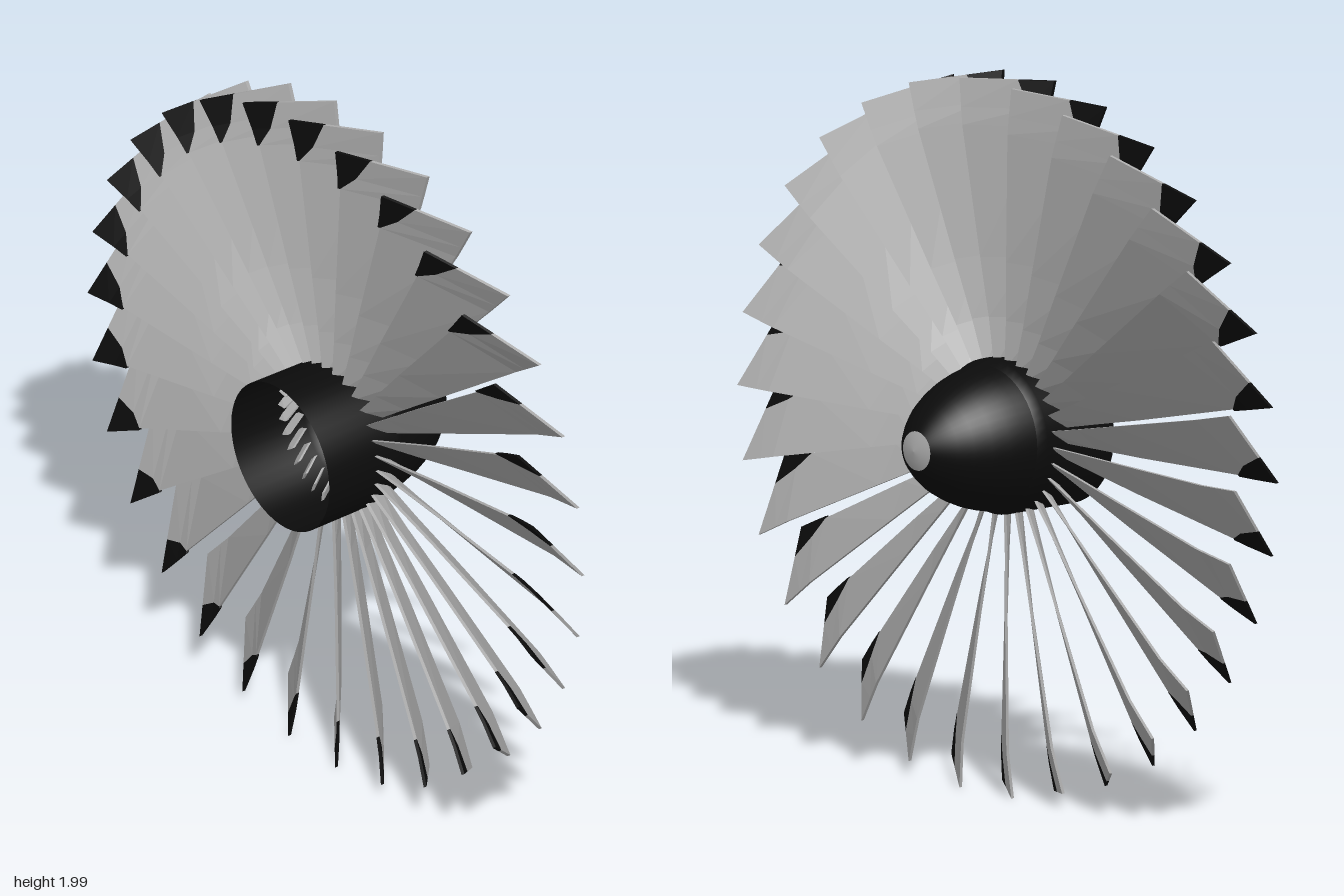
import * as THREE from 'three';

const BLADES = 30;
const black = new THREE.MeshStandardMaterial({ name: 'black', color: 0x0b0b0b, side: THREE.DoubleSide });
const grey = new THREE.MeshStandardMaterial({ name: 'metal grey', color: 0xaaaaaa, side: THREE.DoubleSide });

// Blade stations: radius, half angle in degrees, middle z, half depth in z, share left grey
const STATIONS = [
  [0.19, 5.6, 0.08, 0.028, 1],
  [0.33, 5.6, 0.078, 0.034, 1],
  [0.50, 5.75, 0.074, 0.046, 1],
  [0.87, 5.85, 0.07, 0.073, 0.97],
  [0.92, 5.92, 0.073, 0.075, 0.78],
  [1.00, 6, 0.081, 0.08, 0.62],
];
const THICK = 0.005;

// Four-cornered section of a blade between two shares of its width
function section([r, deg, z, depth], from, to) {
  const a = THREE.MathUtils.degToRad(deg);
  const point = (u, side) => new THREE.Vector3(
    r * Math.cos(a), r * Math.sin(a) * (2 * u - 1), z + depth * (2 * u - 1) + side * THICK);
  return [point(from, -1), point(to, -1), point(to, 1), point(from, 1)];
}

// Closed, flat-faced skin over a row of four-cornered sections
function loft(sections) {
  const pts = [];
  const quad = (a, b, c, d) => pts.push(a, b, c, a, c, d);
  for (let i = 0; i < sections.length - 1; i++) {
    const a = sections[i], b = sections[i + 1];
    for (let j = 0; j < 4; j++) {
      const k = (j + 1) % 4;
      quad(a[j], a[k], b[k], b[j]);
    }
  }
  const first = sections[0], last = sections[sections.length - 1];
  quad(first[3], first[2], first[1], first[0]);
  quad(...last);
  const geometry = new THREE.BufferGeometry().setFromPoints(pts);
  geometry.computeVertexNormals();
  return geometry;
}

// Turned part along z from [radius, z] pairs
function turned(name, profile, material) {
  const geometry = new THREE.LatheGeometry(profile.map(([r, z]) => new THREE.Vector2(r, z)), 48);
  geometry.rotateX(Math.PI / 2);
  const mesh = new THREE.Mesh(geometry, material);
  mesh.name = name;
  return mesh;
}

export function createModel() {
  const fan = new THREE.Group();
  fan.name = 'fan';

  // Hollow hub, open at the front, with a rounded nose at the back
  fan.add(turned('hub', [[0.205, 0], [0.217, 0.03], [0.219, 0.275]], black));
  const nose = [[0.055, -0.262], [0.085, -0.24], [0.113, -0.21], [0.14, -0.175],
    [0.165, -0.13], [0.184, -0.085], [0.197, -0.04], [0.205, 0]];
  fan.add(turned('nose', nose, black));
  fan.add(turned('noseTip', [[0, -0.275], [0.03, -0.271], [0.055, -0.262]], grey));

  // Pitched blades, each with a dark front corner at the rim
  const bladeGeometry = loft(STATIONS.map((s) => section(s, 0, s[4])));
  const cornerGeometry = loft(STATIONS.slice(3).map((s) => section(s, s[4], 1)));
  for (let i = 0; i < BLADES; i++) {
    const blade = new THREE.Group();
    blade.name = 'blade';
    const body = new THREE.Mesh(bladeGeometry, grey);
    body.name = 'bladeBody';
    const corner = new THREE.Mesh(cornerGeometry, black);
    corner.name = 'bladeCorner';
    blade.add(body, corner);
    blade.rotation.z = ((i + 0.5) / BLADES) * Math.PI * 2;
    fan.add(blade);
  }

  fan.position.y = Math.cos(Math.PI / BLADES);
  const model = new THREE.Group();
  model.name = 'model';
  model.add(fan);
  return model;
}
